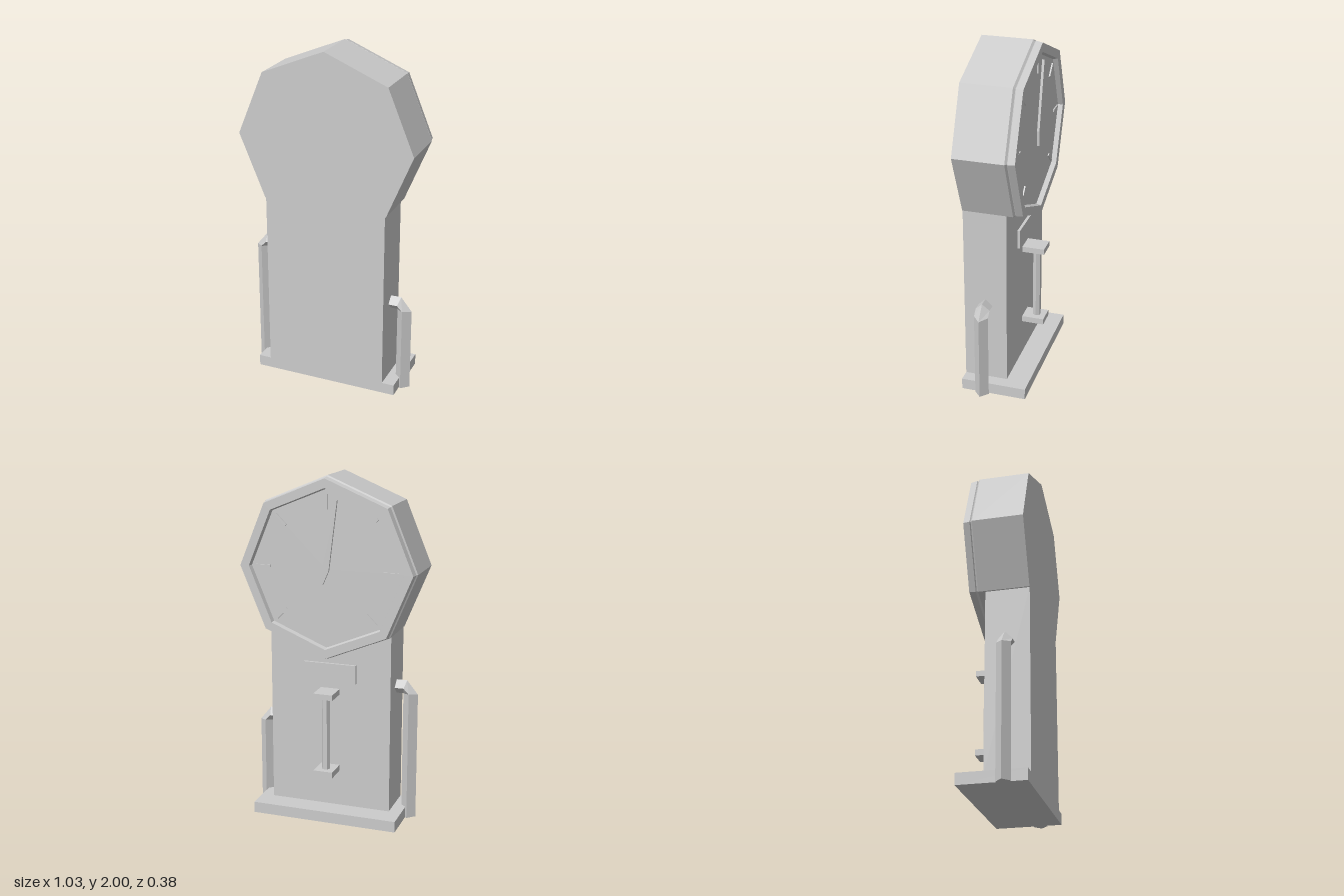
import * as THREE from 'three';

const material = new THREE.MeshStandardMaterial({ color: 0xcccccc, flatShading: true });
const HEAD_Y = 1.483; // centre of the octagonal head
const R = 0.517; // corner radius of the head
const DIAL_Z = -0.125;

function add(parent, name, geometry, x = 0, y = 0, z = 0) {
  const mesh = new THREE.Mesh(geometry, material);
  mesh.name = name;
  mesh.position.set(x, y, z);
  parent.add(mesh);
  return mesh;
}

// Box given by its limits on each axis
function addBox(parent, name, [x0, x1], [y0, y1], [z0, z1]) {
  return add(parent, name, new THREE.BoxGeometry(x1 - x0, y1 - y0, z1 - z0),
    (x0 + x1) / 2, (y0 + y1) / 2, (z0 + z1) / 2);
}

function extrude(points, depth) {
  const shape = new THREE.Shape(points.map(([x, y]) => new THREE.Vector2(x, y)));
  return new THREE.ExtrudeGeometry(shape, { depth, bevelEnabled: false });
}

// Four-sided hose rising from the ground and bending into the cabinet side
function hoseGeometry(side, top) {
  const z = 0.065, r = 0.041;
  // each ring: outer, middle and inner corner as [x, y]
  const rings = [
    [[0.487, 0], [0.443, 0], [0.4, 0]],
    [[0.487, top - 0.08], [0.443, top - 0.072], [0.401, top - 0.081]],
    [[0.422, top], [0.412, top - 0.04], [0.4, top - 0.08]],
    [[0.35, top], [0.35, top - 0.04], [0.35, top - 0.08]],
  ];
  const positions = [], index = [];
  for (const [outer, mid, inner] of rings) {
    positions.push(side * outer[0], outer[1], z, side * mid[0], mid[1], z - side * r);
    positions.push(side * inner[0], inner[1], z, side * mid[0], mid[1], z + side * r);
  }
  for (let i = 0; i < rings.length - 1; i++) {
    for (let j = 0; j < 4; j++) {
      const a = i * 4 + j, b = i * 4 + (j + 1) % 4;
      index.push(a, b, b + 4, a, b + 4, a + 4);
    }
  }
  index.push(0, 2, 1, 0, 3, 2); // foot
  const geometry = new THREE.BufferGeometry();
  geometry.setAttribute('position', new THREE.Float32BufferAttribute(positions, 3));
  geometry.setIndex(index);
  geometry.computeVertexNormals();
  return geometry;
}

export function createModel() {
  const model = new THREE.Group();
  model.name = 'dialPump';

  // Base and cabinet, whose top edge follows the underside of the head
  addBox(model, 'base', [-0.433, 0.433], [0, 0.065], [-0.19, 0.19]);
  const cornerY = HEAD_Y - R * Math.SQRT1_2;
  add(model, 'cabinet', extrude([
    [-0.36, 0.065], [0.36, 0.065], [0.36, cornerY], [0, HEAD_Y - R], [-0.36, cornerY],
  ], 0.25), 0, 0, -0.06);

  // Octagonal head with groove, bezel and recessed dial: [radius, distance towards -z]
  const profile = [
    [0, -0.19], [R, -0.19], [R, 0.1], [0.505, 0.11], [0.511, 0.115],
    [0.504, 0.153], [0.452, 0.153], [0.445, -DIAL_Z], [0, -DIAL_Z],
  ].map(([r, h]) => new THREE.Vector2(r, h));
  add(model, 'head', new THREE.LatheGeometry(profile, 8).rotateX(-Math.PI / 2), 0, HEAD_Y, 0);

  // Dial ticks, with a gap at the bottom
  const dial = new THREE.Group();
  dial.name = 'dial';
  dial.position.set(0, HEAD_Y, DIAL_Z);
  model.add(dial);
  for (let i = -3; i <= 3; i++) {
    const angle = i * Math.PI / 4;
    const tick = add(dial, 'tick', new THREE.BoxGeometry(0.014, 0.085, 0.016),
      -Math.sin(angle) * 0.375, Math.cos(angle) * 0.375, 0);
    tick.rotation.z = angle;
  }

  // Needle
  const needle = add(dial, 'needle',
    extrude([[0, -0.085], [0.02, 0], [0, 0.395], [-0.02, 0]], 0.014), 0, 0, -0.02);
  needle.rotation.z = THREE.MathUtils.degToRad(10);

  // Name plate and sight tube held between two brackets
  addBox(model, 'plate', [-0.157, 0.157], [0.82, 0.93], [-0.076, -0.055]);
  addBox(model, 'upperBracket', [-0.057, 0.057], [0.747, 0.78], [-0.19, -0.055]);
  addBox(model, 'lowerBracket', [-0.057, 0.057], [0.28, 0.315], [-0.19, -0.055]);
  add(model, 'sightTube',
    new THREE.CylinderGeometry(0.024, 0.024, 0.44, 6).rotateY(Math.PI / 6), 0, 0.531, -0.134);

  // Hoses, short on the left and tall on the right
  add(model, 'leftHose', hoseGeometry(1, 0.58));
  add(model, 'rightHose', hoseGeometry(-1, 0.833));

  return model;
}
